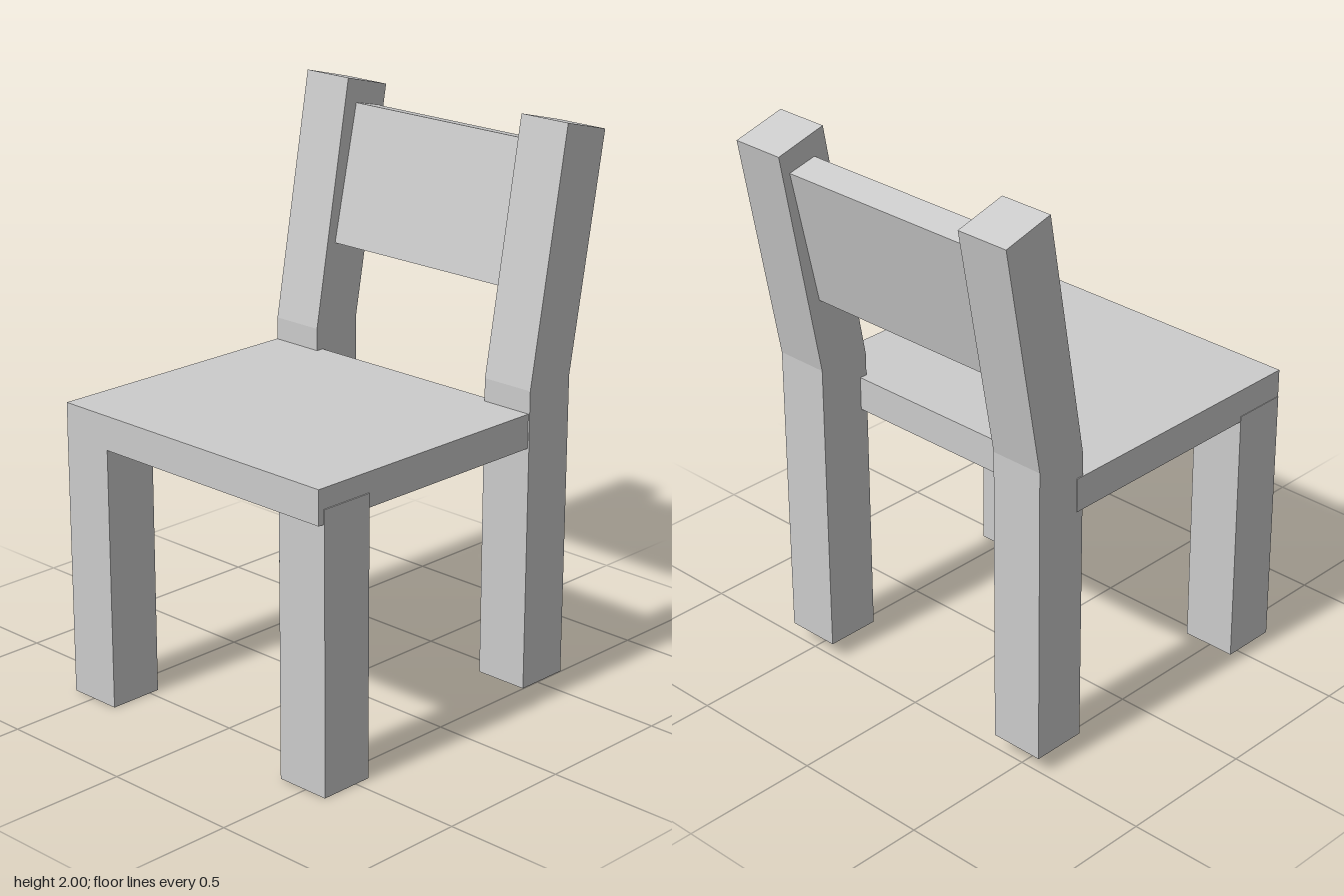
import * as THREE from 'three';

const material = new THREE.MeshStandardMaterial({ color: 0xcccccc, flatShading: true });

// Box given by its minimum and maximum corners
function box(name, [x0, y0, z0], [x1, y1, z1]) {
  const mesh = new THREE.Mesh(new THREE.BoxGeometry(x1 - x0, y1 - y0, z1 - z0), material);
  mesh.position.set((x0 + x1) / 2, (y0 + y1) / 2, (z0 + z1) / 2);
  mesh.name = name;
  return mesh;
}

// Side profile of [z, y] points, extruded across x about its centre
function sideProfile(name, points, width, x) {
  const shape = new THREE.Shape(points.map(([z, y]) => new THREE.Vector2(z, y)));
  const geometry = new THREE.ExtrudeGeometry(shape, { depth: width, bevelEnabled: false });
  geometry.translate(0, 0, -width / 2).rotateY(-Math.PI / 2);
  const mesh = new THREE.Mesh(geometry, material);
  mesh.position.x = x;
  mesh.name = name;
  return mesh;
}

export function createModel() {
  const chair = new THREE.Group();
  chair.name = 'chair';

  chair.add(box('seat', [-0.592, 0.93, -0.345], [0.583, 1.05, 0.663]));

  // Front legs; the left one is set slightly back and stands a hair proud of the seat
  chair.add(box('frontLegRight', [-0.594, 0, 0.463], [-0.395, 0.95, 0.662]));
  chair.add(box('frontLegLeft', [0.388, 0, 0.442], [0.587, 0.98, 0.641]));

  // Rear legs bend backwards above the seat to become the back posts
  const post = [[-0.515, 0.065], [-0.317, 0.065], [-0.317, 1.13], [-0.473, 2], [-0.663, 1.95], [-0.515, 1.14]];
  for (const [side, s] of [['Left', 1], ['Right', -1]]) {
    chair.add(sideProfile('backPost' + side, post, 0.197, s * 0.49));
  }

  // Tilted panel between the posts
  const panel = [[-0.515, 1.4], [-0.408, 1.425], [-0.513, 1.907], [-0.62, 1.882]];
  chair.add(sideProfile('backrest', panel, 0.8, 0));

  return chair;
}
